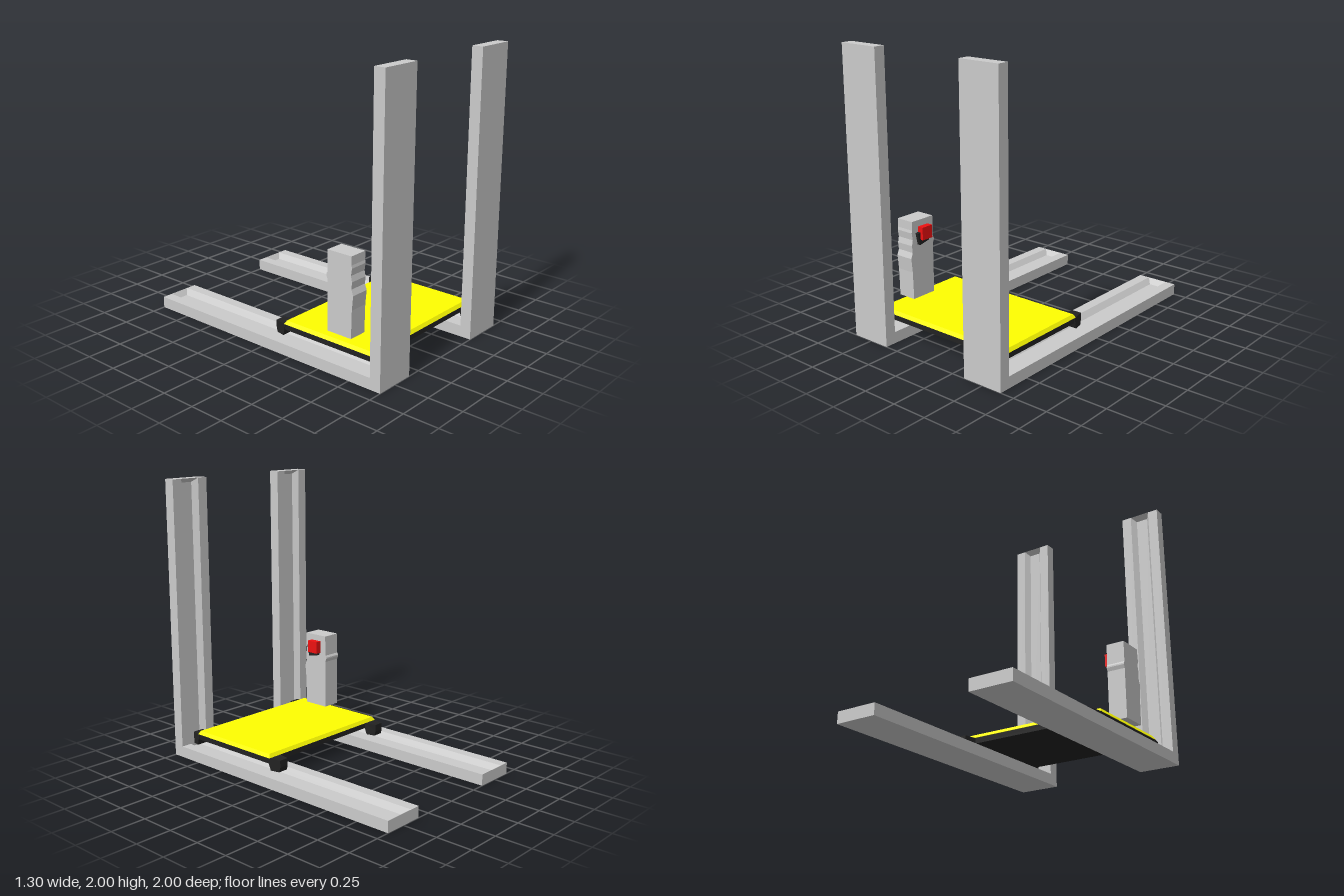
import * as THREE from 'three';

const mat = (color) => new THREE.MeshStandardMaterial({ color, flatShading: true });

function add(parent, name, geometry, material, x = 0, y = 0, z = 0) {
  const mesh = new THREE.Mesh(geometry, material);
  mesh.name = name;
  mesh.position.set(x, y, z);
  parent.add(mesh);
  return mesh;
}

// L-shaped rail: a grooved section swept along the floor, mitred, then up
function railGeometry() {
  const T = 0.08, floor = 0.04, w = 0.15, rim = 0.075, bed = 0.045;
  const section = (x, d) => [[-w, 0], [w, 0], [w, T], [rim, T], [x, d], [-x, d], [-rim, T], [-w, T]];
  const flush = section(rim, T), cut = section(bed, floor);
  const rings = [
    flush.map(([x, d]) => [x, d, -1]),
    cut.map(([x, d]) => [x, d, -0.97]),
    cut.map(([x, d]) => [x, d, 1 - d]),
    cut.map(([x, d]) => [x, 1.97, 1 - d]),
    flush.map(([x, d]) => [x, 2, 1 - d]),
  ];
  const pos = [];
  const quad = (a, b, c, d) => pos.push(...a, ...b, ...c, ...a, ...c, ...d);
  for (let i = 0; i < rings.length - 1; i++) {
    const r = rings[i], s = rings[i + 1];
    for (let j = 0; j < 8; j++) {
      const k = (j + 1) % 8;
      quad(r[j], r[k], s[k], s[j]);
    }
  }
  const first = rings[0], last = rings[4];
  quad(first[0], first[7], first[2], first[1]);
  quad(last[0], last[1], last[2], last[7]);
  const g = new THREE.BufferGeometry();
  g.setAttribute('position', new THREE.Float32BufferAttribute(pos, 3));
  g.computeVertexNormals();
  return g;
}

// Extrudes a side profile of [z, y] points across x, centred on x = 0
function sideExtrude(points, width) {
  const shape = new THREE.Shape(points.map(([z, y]) => new THREE.Vector2(z, y)));
  const g = new THREE.ExtrudeGeometry(shape, { depth: width, bevelEnabled: false });
  return g.translate(0, 0, -width / 2).rotateY(-Math.PI / 2);
}

// Foot that narrows in x away from the platform edge
function footGeometry(points, zEdge) {
  const g = sideExtrude(points, 0.11);
  const p = g.attributes.position;
  for (let i = 0; i < p.count; i++) {
    const t = Math.abs(p.getZ(i) - zEdge) / 0.09;
    p.setX(i, p.getX(i) * (1 - 0.36 * t));
  }
  g.computeVertexNormals();
  return g;
}

// Box whose top face is inset by a margin
function bevelledSlab(w, h, d, inset) {
  const g = new THREE.BoxGeometry(w, h, d);
  const p = g.attributes.position;
  for (let i = 0; i < p.count; i++) {
    if (p.getY(i) < 0) continue;
    p.setX(i, p.getX(i) - Math.sign(p.getX(i)) * inset);
    p.setZ(i, p.getZ(i) - Math.sign(p.getZ(i)) * inset);
  }
  g.computeVertexNormals();
  return g;
}

export function createModel() {
  const model = new THREE.Group();
  model.name = 'railLift';
  const grey = mat(0xcccccc), yellow = mat(0xffff00), black = mat(0x222222), red = mat(0xee1111);

  // Rails and the feet riding on them
  const rail = railGeometry();
  const backFoot = footGeometry(
    [[0.125, 0.165], [0.03, 0.165], [0.03, 0.115], [0.04, 0.08], [0.105, 0.08], [0.12, 0.125]], 0.12);
  const frontFoot = footGeometry(
    [[0.845, 0.165], [0.85, 0.125], [0.865, 0.08], [0.915, 0.08], [0.92, 0.12], [0.92, 0.165]], 0.85);
  for (const [side, x] of [['left', 0.5], ['right', -0.5]]) {
    add(model, side + 'Rail', rail, grey, x);
    add(model, side + 'BackFoot', backFoot, black, x);
    add(model, side + 'FrontFoot', frontFoot, black, x);
  }

  // Platform
  add(model, 'platformBase', new THREE.BoxGeometry(1.1, 0.04, 0.73), black, 0, 0.145, 0.485);
  add(model, 'platformDeck', bevelledSlab(1.11, 0.025, 0.74, 0.015), yellow, 0, 0.1775, 0.485);

  // Control post with its ridged front and back
  const post = sideExtrude([
    [0.485, 0.225], [0.68, 0.225], [0.685, 0.42], [0.695, 0.52], [0.68, 0.56], [0.685, 0.61],
    [0.676, 0.65], [0.684, 0.7], [0.68, 0.72], [0.68, 0.78], [0.485, 0.78],
    [0.485, 0.63], [0.475, 0.615], [0.475, 0.605], [0.485, 0.58],
  ], 0.135);
  add(model, 'controlPost', post, grey, -0.4725);

  // Button and its tilted backing
  const backing = add(model, 'buttonBacking', new THREE.BoxGeometry(0.025, 0.085, 0.088), black, -0.393, 0.66, 0.597);
  backing.rotation.x = 0.21;
  add(model, 'button', new THREE.BoxGeometry(0.045, 0.09, 0.09), red, -0.3825, 0.69, 0.58);

  return model;
}
